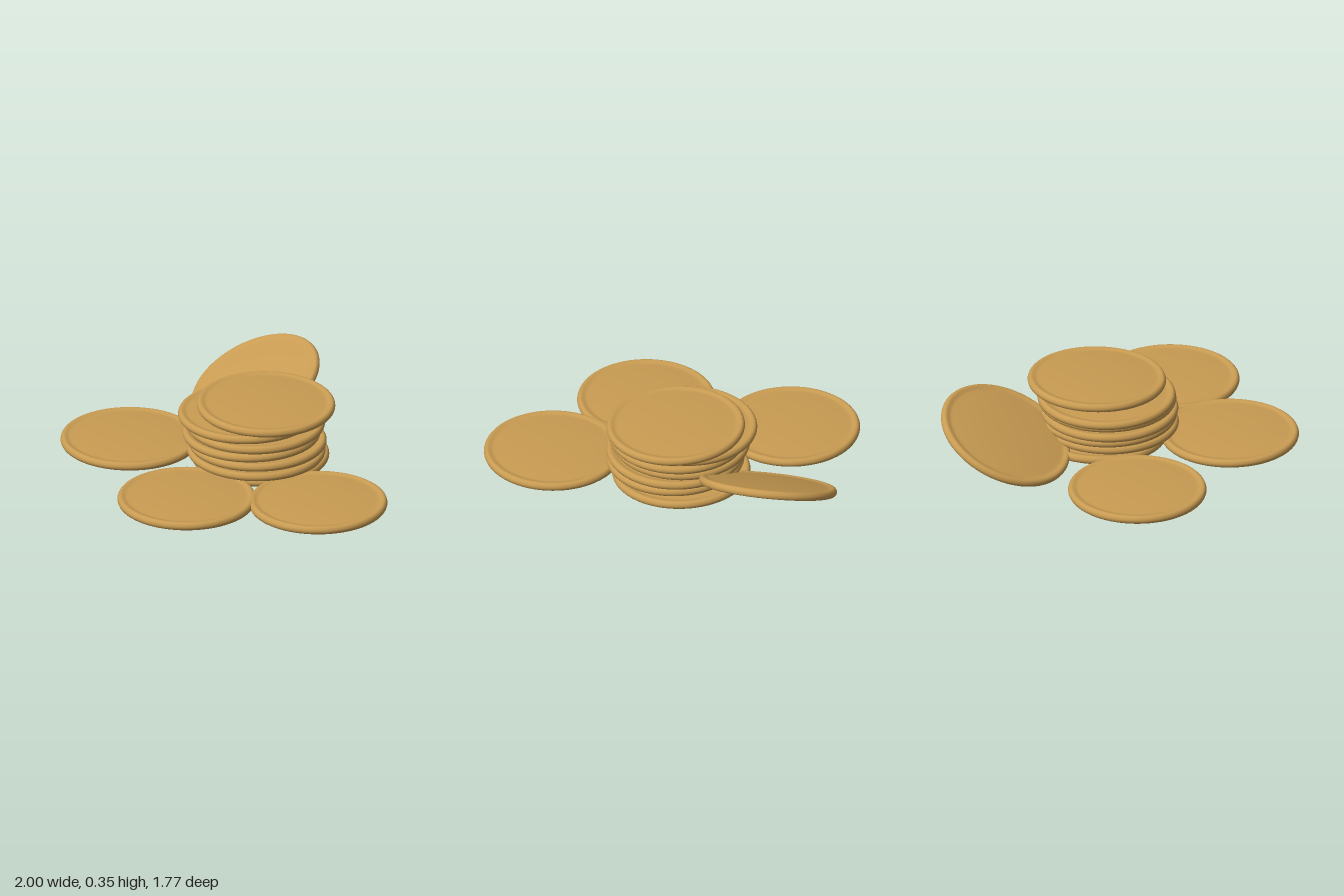
import * as THREE from 'three';

// Half profile of one disc, from centre to edge: gentle dome, shallow groove, rounded rim
const HALF = [
  [0, 0.027], [0.1, 0.0262], [0.2, 0.0232], [0.27, 0.0192], [0.305, 0.0168], [0.32, 0.0165],
  [0.332, 0.0195], [0.343, 0.0222], [0.353, 0.0205], [0.361, 0.013],
];

function discGeometry() {
  const bottom = HALF.map(([r, y]) => new THREE.Vector2(r, -y));
  const top = HALF.map(([r, y]) => new THREE.Vector2(r, y)).reverse();
  const curve = new THREE.SplineCurve([...bottom, new THREE.Vector2(0.365, 0), ...top]);
  const points = curve.getPoints(60).map((p) => new THREE.Vector2(Math.max(p.x, 0), p.y));
  return new THREE.LatheGeometry(points, 72);
}

export function createModel() {
  const model = new THREE.Group();
  model.name = 'discPile';
  const gold = new THREE.MeshStandardMaterial({ color: 0xc89b52 });
  gold.name = 'gold';
  const geometry = discGeometry();

  const addDisc = (name, parent, x, y, z, tiltX = 0, tiltZ = 0) => {
    const disc = new THREE.Mesh(geometry, gold);
    disc.name = name;
    disc.position.set(x, y, z);
    disc.rotation.set(tiltX, 0, tiltZ);
    parent.add(disc);
    return disc;
  };

  // Uneven stack, bottom to top: x, y, z, tilt about x, tilt about z
  const stack = new THREE.Group();
  stack.name = 'stack';
  model.add(stack);
  [
    [-0.03, 0.048, -0.16, 0.02, -0.02],
    [-0.003, 0.1, -0.105, 0, -0.015],
    [-0.004, 0.147, -0.115, 0, 0.006],
    [-0.033, 0.195, -0.1, 0, 0.01],
    [-0.017, 0.243, -0.115, 0, 0.006],
    [-0.07, 0.287, -0.105, 0, 0.01],
    [0, 0.336, -0.175, 0.006, -0.028],
  ].forEach((d, i) => addDisc(`stackedDisc${i + 1}`, stack, ...d));

  // Discs lying flat around the stack
  addDisc('rightFlatDisc', model, -0.635, 0.052, 0.205);
  addDisc('frontFlatDisc', model, 0.105, 0.052, 0.52);
  addDisc('leftFlatDisc', model, 0.63, 0.052, 0.065);

  // Disc leaning up behind the stack
  const leaning = addDisc('leaningDisc', model, -0.46, 0.187, -0.555);
  const normal = new THREE.Vector3(-0.13, 0.9, 0.42).normalize();
  leaning.quaternion.setFromUnitVectors(new THREE.Vector3(0, 1, 0), normal);

  return model;
}
